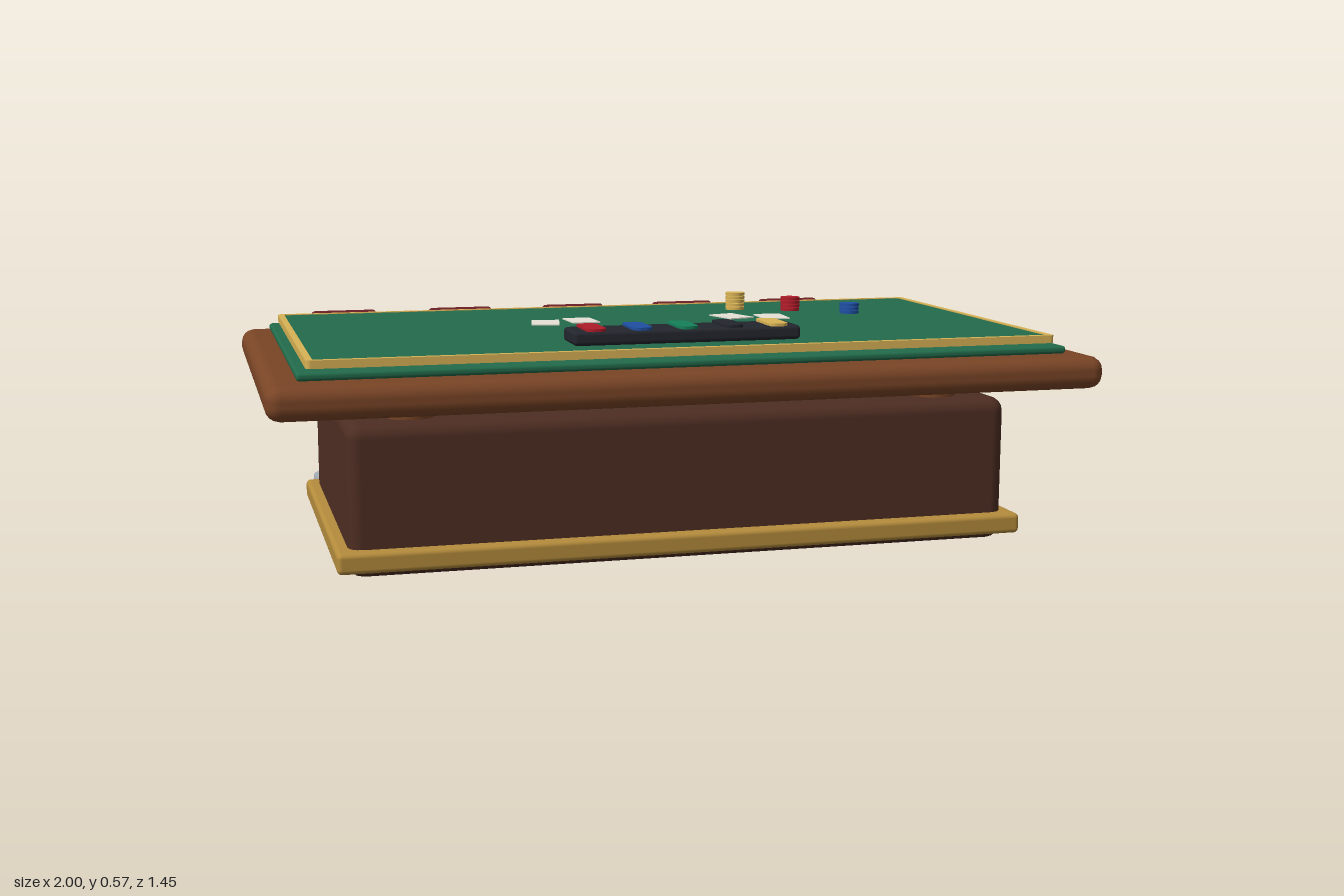
import * as THREE from 'three';
import { RoundedBoxGeometry } from 'three/addons/geometries/RoundedBoxGeometry.js';

const COLORS = {
  wood: 0x7a4526, base: 0x4d2d22, brass: 0xb58c3c, trim: 0xd8b255, felt: 0x226b4b,
  leather: 0x6b1f26, metal: 0xa9b0b8, black: 0x23262d, card: 0xe6e2d6,
  red: 0xb01c2a, blue: 0x1f4fa3, green: 0x14805a
};
const materials = {};
for (const key in COLORS) materials[key] = new THREE.MeshStandardMaterial({ color: COLORS[key] });

function add(parent, name, geometry, color, x, y, z) {
  const mesh = new THREE.Mesh(geometry, materials[color]);
  mesh.name = name;
  mesh.position.set(x, y, z);
  parent.add(mesh);
  return mesh;
}

// Rounded block given by its size, bottom height and centre
function block(parent, name, color, [w, h, d], radius, x, bottom, z) {
  return add(parent, name, new RoundedBoxGeometry(w, h, d, 2, radius), color, x, bottom + h / 2, z);
}

// Flat rounded rectangle, optionally hollow, extruded upwards
function roundedRect(path, w, d, r) {
  const x = w / 2, y = d / 2;
  path.moveTo(-x + r, -y);
  path.lineTo(x - r, -y);
  path.absarc(x - r, -y + r, r, -Math.PI / 2, 0);
  path.absarc(x - r, y - r, r, 0, Math.PI / 2);
  path.absarc(-x + r, y - r, r, Math.PI / 2, Math.PI);
  path.absarc(-x + r, -y + r, r, Math.PI, Math.PI * 1.5);
  return path;
}
function plate(w, d, r, h, border = 0) {
  const shape = roundedRect(new THREE.Shape(), w, d, r);
  if (border) shape.holes.push(roundedRect(new THREE.Path(), w - 2 * border, d - 2 * border, r / 2));
  return new THREE.ExtrudeGeometry(shape, { depth: h, bevelEnabled: false, curveSegments: 8 }).rotateX(-Math.PI / 2);
}

function createTable() {
  const table = new THREE.Group();
  table.name = 'table';
  const z = 0.163;

  // Pedestal with brass plinth and corner posts
  block(table, 'pedestal', 'base', [1.63, 0.36, 0.82], 0.035, 0, 0.006, z);
  block(table, 'plinth', 'brass', [1.69, 0.05, 0.885], 0.012, 0, 0.027, z);
  for (const sx of [-1, 1]) for (const sz of [-1, 1]) {
    add(table, 'cornerPost', new THREE.CylinderGeometry(0.06, 0.052, 0.404, 24), 'wood', sx * 0.657, 0.203, z + sz * 0.306);
  }

  // Layered top: wooden rail, felt border, brass trim and playing surface
  block(table, 'rail', 'wood', [2, 0.08, 1.13], 0.034, 0, 0.402, z);
  block(table, 'feltBorder', 'felt', [1.855, 0.019, 0.985], 0.008, 0, 0.483, z);
  add(table, 'trim', plate(1.81, 0.95, 0.012, 0.019, 0.016), 'trim', 0, 0.508, z);
  add(table, 'playingSurface', plate(1.778, 0.918, 0.006, 0.017), 'felt', 0, 0.508, z);
  return table;
}

function createStool(x) {
  const stool = new THREE.Group();
  stool.name = 'stool';
  stool.position.set(x, 0, -0.61);

  const profile = (points) => new THREE.LatheGeometry(points.map(([r, y]) => new THREE.Vector2(r, y)), 32);
  add(stool, 'foot', new THREE.CylinderGeometry(0.108, 0.11, 0.016, 32), 'metal', 0, 0.012, 0);
  add(stool, 'post', new THREE.CylinderGeometry(0.015, 0.015, 0.27, 16), 'metal', 0, 0.15, 0);
  add(stool, 'seat', profile([[0, 0.28], [0.104, 0.28], [0.113, 0.285], [0.117, 0.295], [0.117, 0.315],
    [0.113, 0.325], [0.104, 0.33], [0, 0.33]]), 'leather', 0, 0, 0);
  block(stool, 'backrest', 'leather', [0.19, 0.14, 0.028], 0.012, 0, 0.35, -0.094);
  return stool;
}

function createChipStack(x, z, color, count) {
  const stack = new THREE.Group();
  stack.name = 'chipStack';
  for (let i = 0; i < count; i++) {
    add(stack, 'chip', new THREE.CylinderGeometry(0.026, 0.026, 0.008, 24), color, x, 0.531 + i * 0.0098, z);
  }
  return stack;
}

export function createModel() {
  const model = new THREE.Group();
  model.name = 'gamingTable';
  model.add(createTable());

  // Stools along the back
  for (let i = -2; i <= 2; i++) model.add(createStool(i * 0.345));

  // Chip tray with five coloured rows
  block(model, 'chipTray', 'black', [0.56, 0.034, 0.12], 0.01, 0, 0.526, 0.488);
  ['red', 'blue', 'green', 'black', 'trim'].forEach((color, i) => {
    add(model, 'chipRow', plate(0.05, 0.124, 0.02, 0.007), color, (i - 2) * 0.1125, 0.559, 0.488);
  });

  // Loose chip stacks
  model.add(createChipStack(0.328, -0.12, 'trim', 5));
  model.add(createChipStack(0.467, -0.058, 'red', 4));
  model.add(createChipStack(0.6, 0.047, 'blue', 3));

  // Playing cards: x, z, turn
  for (const [x, z, turn] of [[-0.247, 0.068, -0.2], [-0.146, 0.042, 0.06], [0.264, 0.046, 0.28], [0.367, 0.077, -0.06]]) {
    add(model, 'card', new THREE.BoxGeometry(0.072, 0.003, 0.105), 'card', x, 0.5275, z).rotation.y = turn;
  }
  return model;
}
